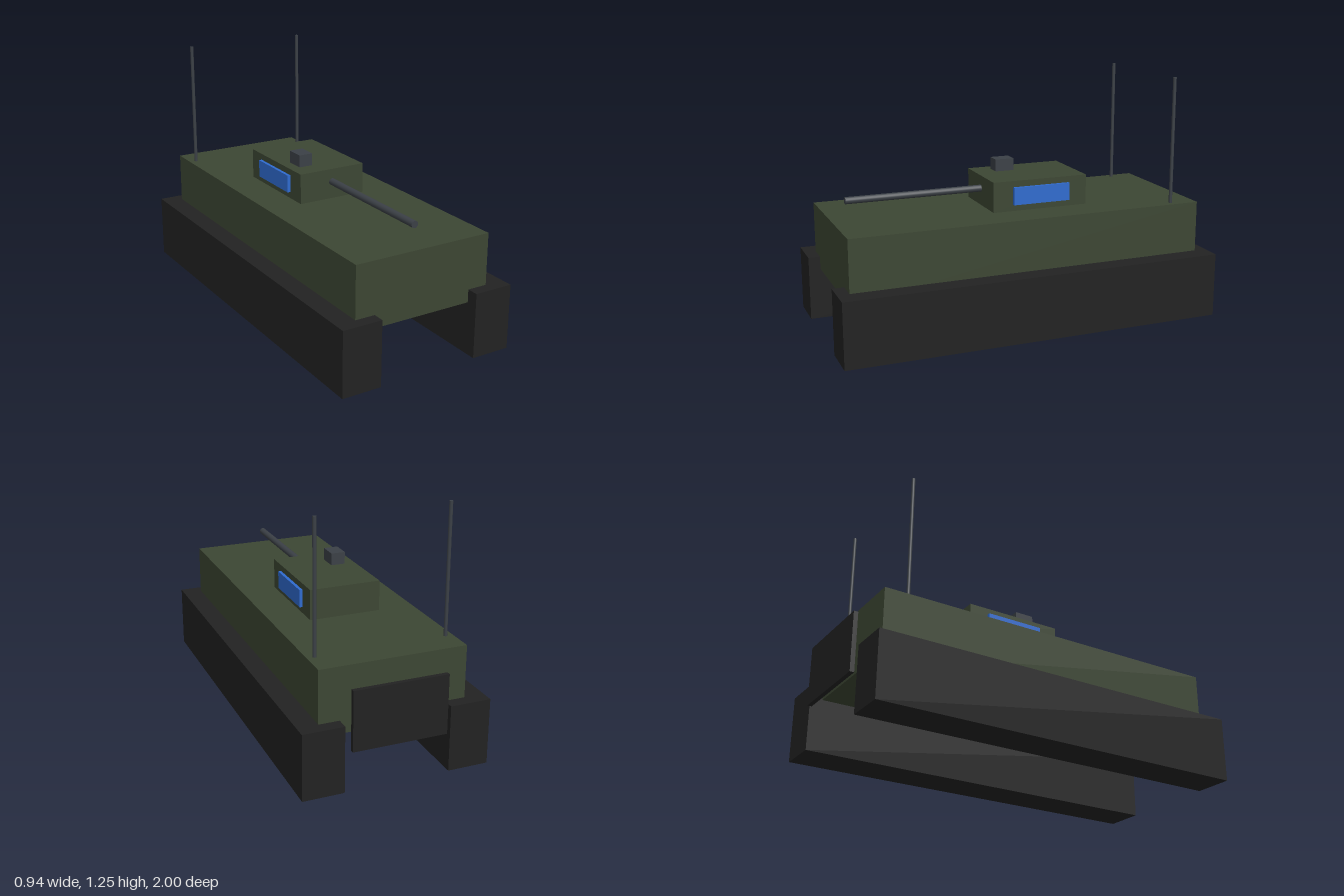
import * as THREE from 'three';

const material = (name, color) => {
  const m = new THREE.MeshStandardMaterial({ color });
  m.name = name;
  return m;
};

export function createModel() {
  const green = material('armourGreen', 0x3c4633);
  const black = material('trackBlack', 0x222222);
  const grey = material('gunmetalGrey', 0x3b4046);
  const blue = material('panelBlue', 0x2f6bcf);

  const model = new THREE.Group();
  model.name = 'trackedVehicle';

  const add = (name, geometry, mat, x, y, z) => {
    const mesh = new THREE.Mesh(geometry, mat);
    mesh.name = name;
    mesh.position.set(x, y, z);
    model.add(mesh);
    return mesh;
  };

  // Box given by its [min, max] range on each axis
  const box = (name, mat, [x0, x1], [y0, y1], [z0, z1]) =>
    add(name, new THREE.BoxGeometry(x1 - x0, y1 - y0, z1 - z0), mat,
      (x0 + x1) / 2, (y0 + y1) / 2, (z0 + z1) / 2);

  // Hull, turret, sight and rear plate
  box('hull', green, [-0.368, 0.368], [0.267, 0.597], [-0.915, 0.94]);
  box('turret', green, [-0.184, 0.184], [0.597, 0.752], [-0.36, 0.15]);
  box('sight', grey, [-0.129, -0.055], [0.752, 0.815], [-0.055, 0.045]);
  box('rearPlate', black, [-0.236, 0.236], [0.21, 0.51], [-1, -0.978]);

  // Gun barrel, running out of the turret front
  const barrel = add('barrel', new THREE.CylinderGeometry(0.018, 0.018, 0.71, 16), grey, 0, 0.685, 0.505);
  barrel.rotation.x = Math.PI / 2;

  // Mirrored parts: tracks, turret side panels and antennas
  for (const [side, s] of [['left', 1], ['right', -1]]) {
    const span = (a, b) => (s > 0 ? [a, b] : [-b, -a]);
    box(side + 'Track', black, span(0.264, 0.47), [0, 0.333], [-0.978, 1]);
    box(side + 'TurretPanel', blue, span(0.184, 0.2), [0.63, 0.72], [-0.26, 0.045]);
    add(side + 'Antenna', new THREE.CylinderGeometry(0.009, 0.009, 0.653, 10), grey, s * 0.33, 0.9235, -0.778);
  }

  return model;
}
